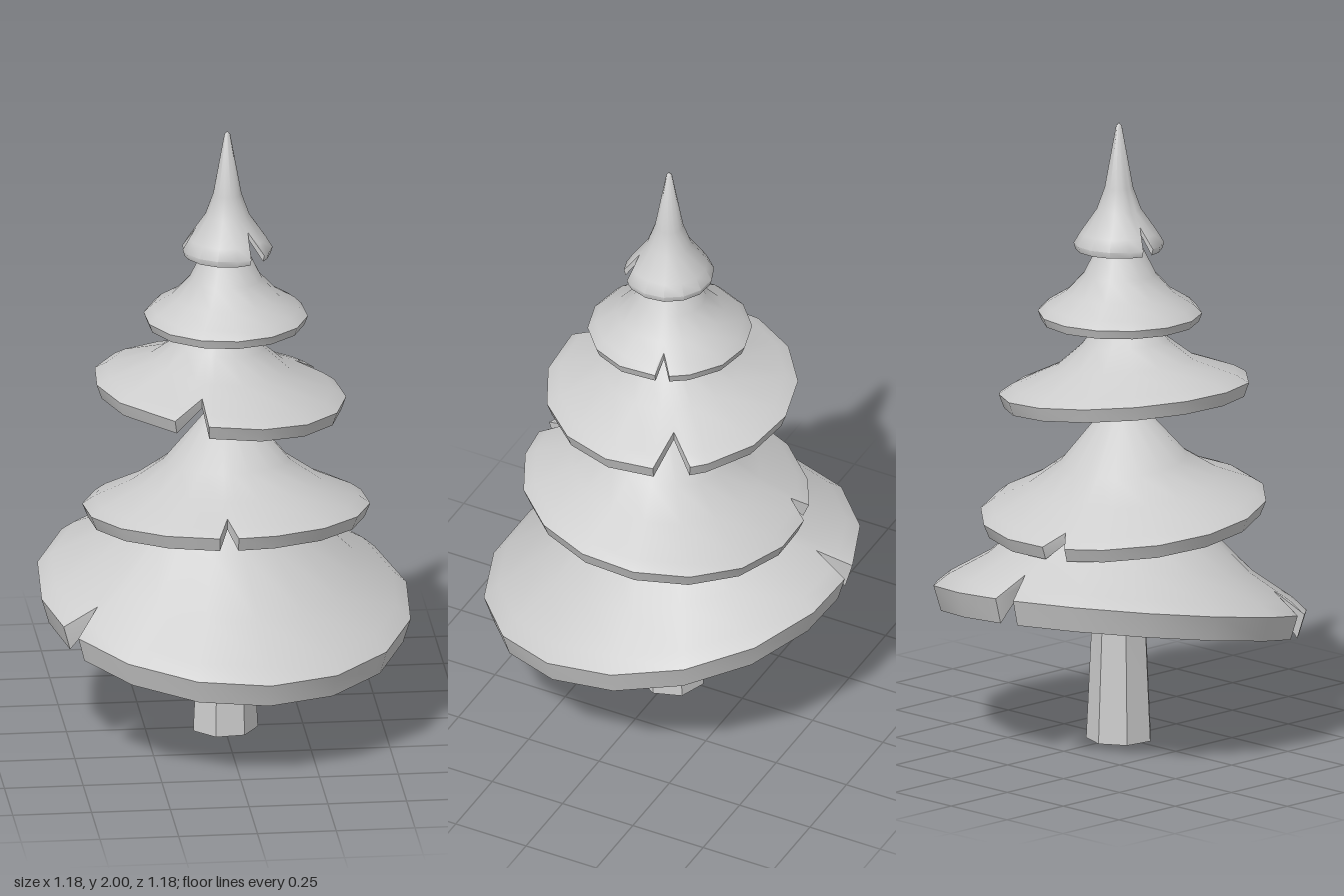
import * as THREE from 'three';
import { toCreasedNormals } from 'three/addons/utils/BufferGeometryUtils.js';

const RAD = Math.PI / 180;

// Height of the upper surface of a tier at radius r
function heightAt(profile, r) {
  for (let i = 1; i < profile.length; i++) {
    const [r0, y0] = profile[i - 1], [r1, y1] = profile[i];
    if (r <= r1) return y0 + (y1 - y0) * (r - r0) / Math.max(r1 - r0, 1e-6);
  }
  return profile[profile.length - 1][1];
}

// Hollow skirt of branches: profile runs from the top to the rim, notches are
// [start, deepest, end] in degrees plus the radius of the deepest point
function tierGeometry({ profile, lip, thick, sides, offset, centre, tilt, notches }) {
  const columns = [];
  for (let i = 0; i < sides; i++) {
    const a = (offset + i * 360 / sides) % 360;
    if (!notches.some(n => a > n[0] - 8 && a < n[2] + 8)) columns.push([a, Infinity]);
  }
  for (const [a, b, c, r] of notches) columns.push([a, Infinity], [b, r], [c, Infinity]);
  columns.sort((p, q) => p[0] - q[0]);

  const [rimR, rimY] = profile[profile.length - 1];
  const under = profile.slice(0, -1).reverse().map(([r, y]) => [r, y - thick]);
  const rings = [...profile, [rimR * 0.96, rimY - lip], ...under];

  const pos = [], index = [], n = columns.length;
  rings.forEach(([r, y], i) => {
    for (const [a, limit] of columns) {
      let rr = r, yy = y;
      if (r > limit) {
        rr = limit;
        yy = heightAt(profile, limit) - (i < profile.length ? 0 : thick);
      }
      const x = rr * Math.cos(a * RAD), z = rr * Math.sin(a * RAD);
      pos.push(x + centre[0], yy + tilt[0] * x + tilt[1] * z, z + centre[1]);
    }
  });
  for (let i = 0; i < rings.length - 1; i++) {
    for (let j = 0; j < n; j++) {
      const a = i * n + j, b = i * n + (j + 1) % n;
      index.push(a, b, a + n, b, b + n, a + n);
    }
  }
  const geo = new THREE.BufferGeometry();
  geo.setAttribute('position', new THREE.Float32BufferAttribute(pos, 3));
  geo.setIndex(index);
  return toCreasedNormals(geo, 0.9);
}

const TIERS = [
  { name: 'bottomTier', sides: 16, offset: 14, centre: [0, 0], tilt: [-0.07, -0.18],
    profile: [[0.1, 0.88], [0.27, 0.715], [0.42, 0.575], [0.55, 0.495], [0.595, 0.455]],
    lip: 0.08, thick: 0.035,
    notches: [[146.6, 149, 154.3, 0.5], [259.4, 262.9, 266.1, 0.485]] },
  { name: 'lowerTier', sides: 16, offset: 8, centre: [0.005, 0.02], tilt: [0, 0.1],
    profile: [[0.05, 1.07], [0.07, 1.06], [0.2, 0.905], [0.3, 0.835], [0.42, 0.78], [0.455, 0.755]],
    lip: 0.045, thick: 0.035,
    notches: [[91, 95.5, 98.6, 0.375], [249, 252, 259, 0.4]] },
  { name: 'middleTier', sides: 15, offset: 4, centre: [-0.015, 0.01], tilt: [-0.1, 0],
    profile: [[0.05, 1.4], [0.09, 1.355], [0.14, 1.29], [0.22, 1.225], [0.36, 1.17], [0.4, 1.145]],
    lip: 0.045, thick: 0.03,
    notches: [[100.9, 107, 116.6, 0.29], [324, 331, 341, 0.29]] },
  { name: 'upperTier', sides: 14, offset: 10, centre: [0.005, 0.005], tilt: [0, 0],
    profile: [[0.05, 1.63], [0.075, 1.59], [0.115, 1.51], [0.17, 1.45], [0.235, 1.41], [0.26, 1.385]],
    lip: 0.028, thick: 0.025,
    notches: [[333, 338, 343, 0.2]] },
  { name: 'crownTier', sides: 14, offset: 5, centre: [0.01, 0.005], tilt: [0, 0],
    profile: [[0, 2], [0.009, 1.99], [0.045, 1.79], [0.07, 1.72], [0.122, 1.645], [0.143, 1.61]],
    lip: 0.02, thick: 0.02,
    notches: [[41, 53, 64, 0.095], [176, 183, 192, 0.1]] },
];

export function createModel() {
  const tree = new THREE.Group();
  tree.name = 'coniferTree';
  const grey = new THREE.MeshStandardMaterial({ color: 0xcccccc, side: THREE.DoubleSide });
  grey.name = 'paleGrey';

  // Faceted trunk tapering up through every tier, open at the base
  const trunkProfile = [[0.107, 0], [0.092, 0.32], [0.075, 0.7], [0.058, 1.1], [0.04, 1.7]]
    .map(([r, y]) => new THREE.Vector2(r, y));
  const trunk = new THREE.Mesh(
    toCreasedNormals(new THREE.LatheGeometry(trunkProfile, 7, 0.55), 0.6), grey);
  trunk.name = 'trunk';
  tree.add(trunk);

  // Skirts of branches
  for (const tier of TIERS) {
    const mesh = new THREE.Mesh(tierGeometry(tier), grey);
    mesh.name = tier.name;
    tree.add(mesh);
  }
  return tree;
}
